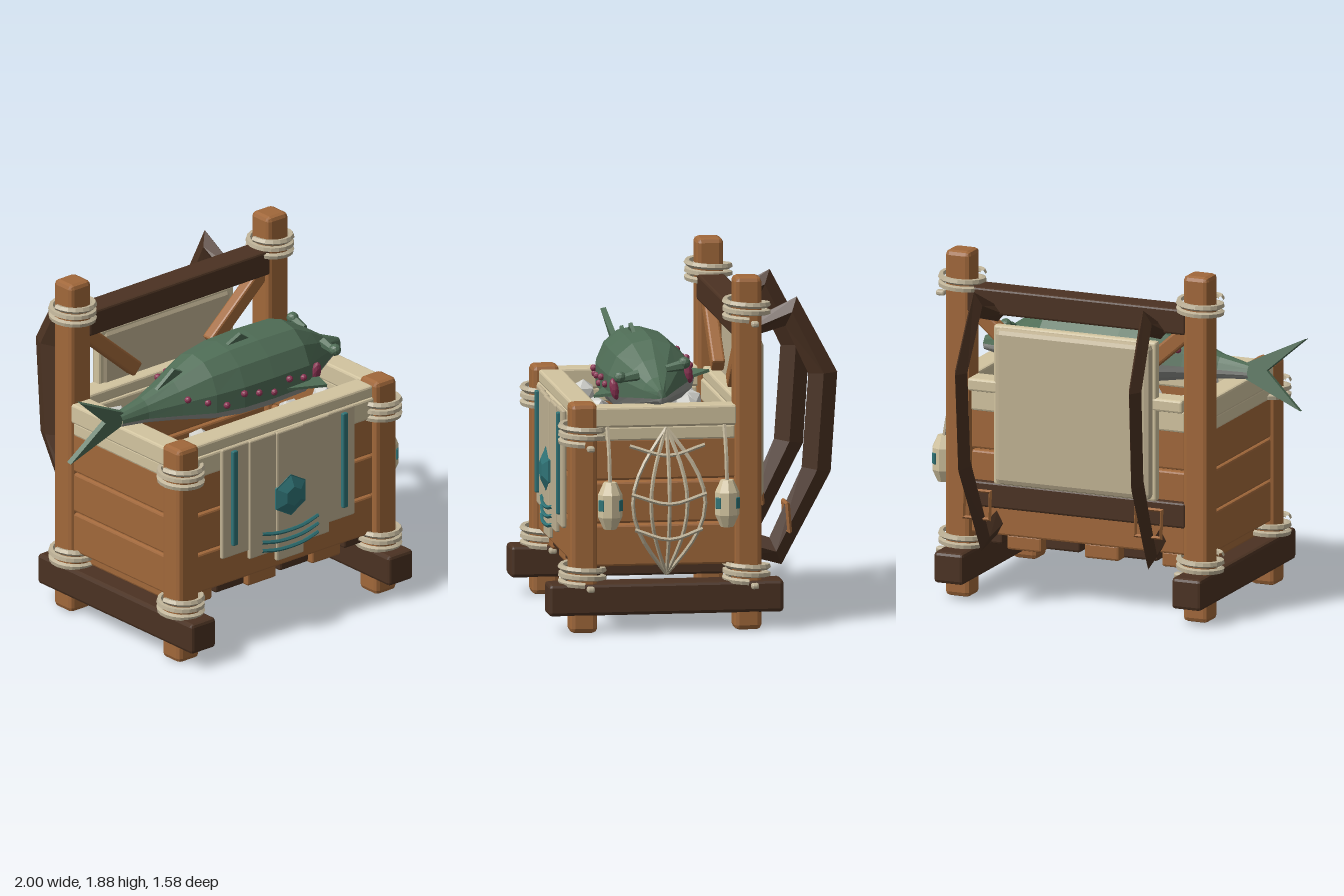
import * as THREE from 'three';
import { RoundedBoxGeometry } from 'three/addons/geometries/RoundedBoxGeometry.js';

const paint = (name, color, extra = {}) => Object.assign(new THREE.MeshStandardMaterial({ color, ...extra }), { name });
const V = (x, y, z) => new THREE.Vector3(x, y, z);
const CX = 0.08, HX = 0.687, ZF = 0.605, ZB = -0.272, ZM = (ZF + ZB) / 2;

// Faceted normals
function flat(g) {
  const f = g.index ? g.toNonIndexed() : g;
  f.computeVertexNormals();
  return f;
}

// Surface through a list of rings with equal point counts
function skin(rings) {
  const n = rings[0].length, idx = [];
  for (let i = 0; i < rings.length - 1; i++)
    for (let j = 0; j < n - 1; j++) {
      const a = i * n + j, b = a + n;
      idx.push(a, b, b + 1, a, b + 1, a + 1);
    }
  const g = new THREE.BufferGeometry().setFromPoints(rings.flat());
  g.setIndex(idx);
  return flat(g);
}

export function createModel() {
  const model = new THREE.Group();
  model.name = 'fishCrate';
  const wood = paint('wood', 0xa1683a), dark = paint('darkWood', 0x4b3222), cream = paint('creamCloth', 0xd2c4a0);
  const cloth = paint('cloth', 0xc0b293), rope = paint('rope', 0xbfb398);
  const green = paint('fishGreen', 0x4f6d56, { side: THREE.DoubleSide }), belly = paint('fishBelly', 0x92948f);
  const pink = paint('pink', 0x8a3352), teal = paint('teal', 0x2f7376), ice = paint('ice', 0xcfcfca);

  const add = (name, geo, mat, x = 0, y = 0, z = 0, parent = model) => {
    const m = new THREE.Mesh(geo, mat);
    m.name = name;
    m.position.set(x, y, z);
    parent.add(m);
    return m;
  };
  const box = (name, mat, w, h, d, x, y, z, r = 0.012) =>
    add(name, flat(new RoundedBoxGeometry(w, h, d, 1, Math.min(r, w / 3, h / 3, d / 3))), mat, x, y, z);
  const tube = (name, mat, pts, r, seg = 10, parent = model) =>
    add(name, flat(new THREE.TubeGeometry(new THREE.CatmullRomCurve3(pts), seg, r, 5)), mat, 0, 0, 0, parent);

  // Rope wound around a post, with a loose end
  const lashing = (x, y, z) => {
    const pts = [];
    for (let i = 0; i <= 32; i++) {
      const a = i / 32 * Math.PI * 5;
      pts.push(V(x + Math.cos(a) * 0.114, y - 0.05 + i / 32 * 0.1, z + Math.sin(a) * 0.114));
    }
    tube('ropeLashing', rope, pts, 0.017, 48);
    box('ropeEnd', rope, 0.05, 0.03, 0.04, x + 0.11, y - 0.07, z - 0.03);
  };

  // Posts, skids, side walls and rims
  for (const s of [-1, 1]) {
    const x = CX + s * HX;
    box('frontPost', wood, 0.145, 1.225, 0.145, x, 0.6125, ZF, 0.025);
    box('backPost', wood, 0.145, 1.885, 0.145, x, 0.9425, ZB, 0.025);
    box('skid', dark, 0.17, 0.17, 1.255, x, 0.18, 0.167, 0.018);
    for (let i = 0; i < 3; i++) box('sidePlank', wood, 0.1, 0.222, 0.76, x, 0.463 + i * 0.23, ZM);
    box('sideRim', cream, 0.13, 0.11, 0.76, x, 1.15, ZM);
    box('sideRimFold', cream, 0.105, 0.08, 0.75, x, 1.06, ZM);
    lashing(x, 0.31, ZF);
    lashing(x, 1.06, ZF);
    lashing(x, 0.31, ZB);
    lashing(x, 1.71, ZB);
    // Diagonal brace under the top rail
    const brace = box('brace', wood, 0.5, 0.085, 0.07, CX + s * 0.45, 1.42, ZB + 0.01);
    brace.rotation.z = s * 0.72;
  }

  // Front and back walls, rims and rails
  for (const z of [ZF, ZB]) {
    for (let i = 0; i < 3; i++) box('wallPlank', wood, 1.24, 0.222, 0.08, CX, 0.463 + i * 0.23, z);
    box('rim', cream, 1.24, 0.07, 0.13, CX, 1.17, z - 0.025);
    box('rimFold', cream, 1.24, 0.12, 0.1, CX, 1.08, z);
  }
  box('topRail', dark, 1.26, 0.14, 0.145, CX, 1.63, ZB);
  box('lowerRail', dark, 1.26, 0.14, 0.145, CX, 0.575, ZB);

  // Floor slats
  for (let i = 0; i < 6; i++)
    box('floorSlat', i % 2 ? dark : wood, 0.2, i % 2 ? 0.065 : 0.085, 0.86, -0.48 + i * 0.224, i % 2 ? 0.322 : 0.308, ZM);

  // Back pad
  box('backPad', cloth, 0.9, 0.85, 0.1, CX, 1.075, -0.352, 0.03);
  box('padBorder', cream, 0.94, 0.87, 0.05, CX, 1.075, -0.335);

  // Shoulder straps with diamond section, and their buckles
  const outer = [[-0.3, 1.6], [-0.57, 1.735], [-0.785, 1.33], [-0.75, 0.8], [-0.49, 0.305], [-0.3, 0.355]];
  const inner = [[-0.3, 1.515], [-0.51, 1.58], [-0.63, 1.325], [-0.595, 0.825], [-0.425, 0.45], [-0.3, 0.49]];
  for (const s of [-1, 1]) {
    const rings = outer.map(([zo, yo], i) => {
      const [zi, yi] = inner[i], zm = (zo + zi) / 2, ym = (yo + yi) / 2;
      const x = CX + s * (0.47 - (zm + 0.3) * 0.08);
      const o = V(x, yo, zo);
      return [o, V(x - 0.036, ym, zm), V(x, yi, zi), V(x + 0.036, ym, zm), o];
    });
    add('strap', skin(rings), dark);
    const buckle = add('buckle', flat(new THREE.TorusGeometry(0.105, 0.013, 4, 4).rotateZ(Math.PI / 4)), wood, CX + s * 0.495, 0.565, -0.515);
    buckle.rotation.x = 0.08;
  }

  // Hanging front cloth strips
  [0.52, 0.47, 0.41, 0.47, 0.52].forEach((y, i) =>
    box('clothStrip', cloth, 0.188, 1.15 - y, 0.025, CX + (i - 2) * 0.184, (1.15 + y) / 2, 0.668 + (i % 2 ? 0.008 : i === 2 ? 0.016 : 0), 0.008));
  for (const s of [-1, 1]) box('tealStripe', teal, 0.034, 0.545, 0.025, CX + s * 0.383, 0.857, 0.687, 0.006);
  const gem = new THREE.CylinderGeometry(0.055, 0.118, 0.03, 6).rotateX(Math.PI / 2);
  add('tealGem', flat(gem), teal, CX, 0.77, 0.712);
  add('tealGemBase', flat(new THREE.CylinderGeometry(0.118, 0.118, 0.02, 6).rotateX(Math.PI / 2)), teal, CX, 0.77, 0.69);
  for (let i = 0; i < 3; i++) {
    const y = 0.595 - i * 0.048;
    tube('tealWave', teal, [V(-0.115, y, 0.69), V(-0.02, y - 0.018, 0.7), V(CX, y - 0.022, 0.705), V(0.18, y - 0.018, 0.7), V(0.275, y, 0.69)], 0.011);
  }

  // Woven net on the left side
  const net = new THREE.Group();
  net.name = 'net';
  model.add(net);
  for (let k = -2; k <= 2; k++) {
    const pts = [];
    for (let i = 0; i <= 8; i++) {
      const b = Math.sin(i / 8 * Math.PI);
      pts.push(V(0.835 + b * (0.125 - Math.abs(k) * 0.015), 1.09 - i / 8 * 0.78, 0.165 + k * 0.097 * b));
    }
    tube('netRib', rope, pts, 0.011, 12, net);
  }
  for (const [y, w, x] of [[1, 0.2, 0.88], [0.75, 0.2, 0.95], [0.56, 0.18, 0.94]])
    tube('netCrossbar', rope, [V(x - 0.02, y, 0.165 - w), V(x + 0.015, y - 0.05, 0.165), V(x - 0.02, y, 0.165 + w)], 0.011, 8, net);

  // Floats hung on cords
  const profile = [[0, -0.125], [0.035, -0.125], [0.065, -0.06], [0.065, 0.06], [0.035, 0.125], [0, 0.125]].map(p => new THREE.Vector2(...p));
  for (const z of [0.48, -0.145]) {
    add('float', flat(new THREE.LatheGeometry(profile, 8)), cream, 0.93, 0.695, z);
    for (const s of [-1, 1]) box('floatMark', teal, 0.035, 0.06, 0.012, 0.965, 0.7, z + s * 0.05, 0.003).rotation.y = -s * 0.78 + s * 1.57;
    tube('cord', rope, [V(0.83, 1.1, z), V(0.9, 0.96, z), V(0.93, 0.81, z)], 0.011, 6);
  }

  // Ice lumps around the fish
  [[-0.46, -0.09], [-0.45, 0.02], [-0.24, -0.07], [0.05, -0.08], [-0.33, 0.44], [0.28, 0.46], [0.54, 0.42], [0.3, -0.02], [0.6, 0.1]]
    .forEach(([x, z], i) => {
      add('iceLump', flat(new THREE.IcosahedronGeometry(0.066 + (i % 3) * 0.006, 0)), ice, x, 1.11, z).rotation.set(i, i * 2, i * 0.7);
    });

  // Fish, rolled slightly on its side
  const fish = new THREE.Group();
  fish.name = 'fish';
  fish.position.set(0, 1.25, 0.19);
  fish.rotation.x = 0.2;
  model.add(fish);
  // Stations: x, half width, height above, depth below
  const body = [[-0.69, 0.04, 0.045, 0.035], [-0.53, 0.07, 0.085, 0.05], [-0.35, 0.135, 0.155, 0.07], [-0.17, 0.205, 0.235, 0.1], [0, 0.235, 0.26, 0.12],
    [0.2, 0.242, 0.265, 0.125], [0.45, 0.235, 0.258, 0.115], [0.6, 0.15, 0.175, 0.085], [0.72, 0.085, 0.095, 0.055], [0.84, 0.025, 0.045, 0.03], [0.852, 0, 0, 0]];
  const half = a0 => skin(body.map(([x, w, t, b]) => Array.from({ length: 8 }, (_, j) => {
    const a = a0 + j / 7 * Math.PI, s = Math.sin(a);
    return V(x, s * (a0 ? b : t), w * Math.cos(a));
  })));
  add('fishBack', half(0), green, 0, 0, 0, fish);
  add('fishUnderside', half(Math.PI), belly, 0, 0, 0, fish);
  add('jaw', flat(new THREE.ConeGeometry(0.035, 0.14, 6).rotateZ(-Math.PI / 2)), belly, 0.77, -0.025, 0, fish);

  // Fins as thin plates: outline in x-y, then placed
  const fin = (name, pts, t = 0.02) => {
    const shape = new THREE.Shape(pts.map(p => new THREE.Vector2(...p)));
    const g = new THREE.ExtrudeGeometry(shape, { depth: t, bevelEnabled: false });
    g.translate(0, 0, -t / 2);
    return add(name, flat(g), green, 0, 0, 0, fish);
  };
  fin('tailFin', [[-0.67, 0.05], [-1, 0.21], [-0.79, 0.02], [-1, -0.175], [-0.67, -0.035]], 0.03);
  fin('dorsalFin', [[0.02, 0.25], [0.11, 0.3], [0.18, 0.25]]);
  fin('rearFin', [[-0.46, 0.1], [-0.34, 0.215], [-0.27, 0.18]]);
  for (const s of [-1, 1]) {
    const f = fin('sideFin', [[0.24, 0], [0.5, 0.1], [0.52, 0]], 0.015);
    f.rotation.x = s * 1.5;
    f.position.set(0, 0.02, s * 0.215);
    // Eye, gill and spots
    add('eye', flat(new THREE.IcosahedronGeometry(0.033, 1)), green, 0.655, 0.125, s * 0.195 * 0.9, fish);
    add('eyeStalk', flat(new THREE.CylinderGeometry(0.02, 0.03, 0.09, 6).rotateX(Math.PI / 2)), green, 0.655, 0.115, s * 0.12, fish);
    add('gill', flat(new THREE.IcosahedronGeometry(1, 1).scale(0.03, 0.06, 0.025)), pink, 0.515, 0.045, s * 0.2, fish);
    for (let i = 0; i < 8; i++)
      add('spot', flat(new THREE.IcosahedronGeometry(0.019, 1)), pink, -0.32 + i * 0.103, 0.085 - (i % 3) * 0.024, s * [0.125, 0.172, 0.213, 0.226, 0.23, 0.236, 0.232, 0.23][i], fish);
  }
  return model;
}
